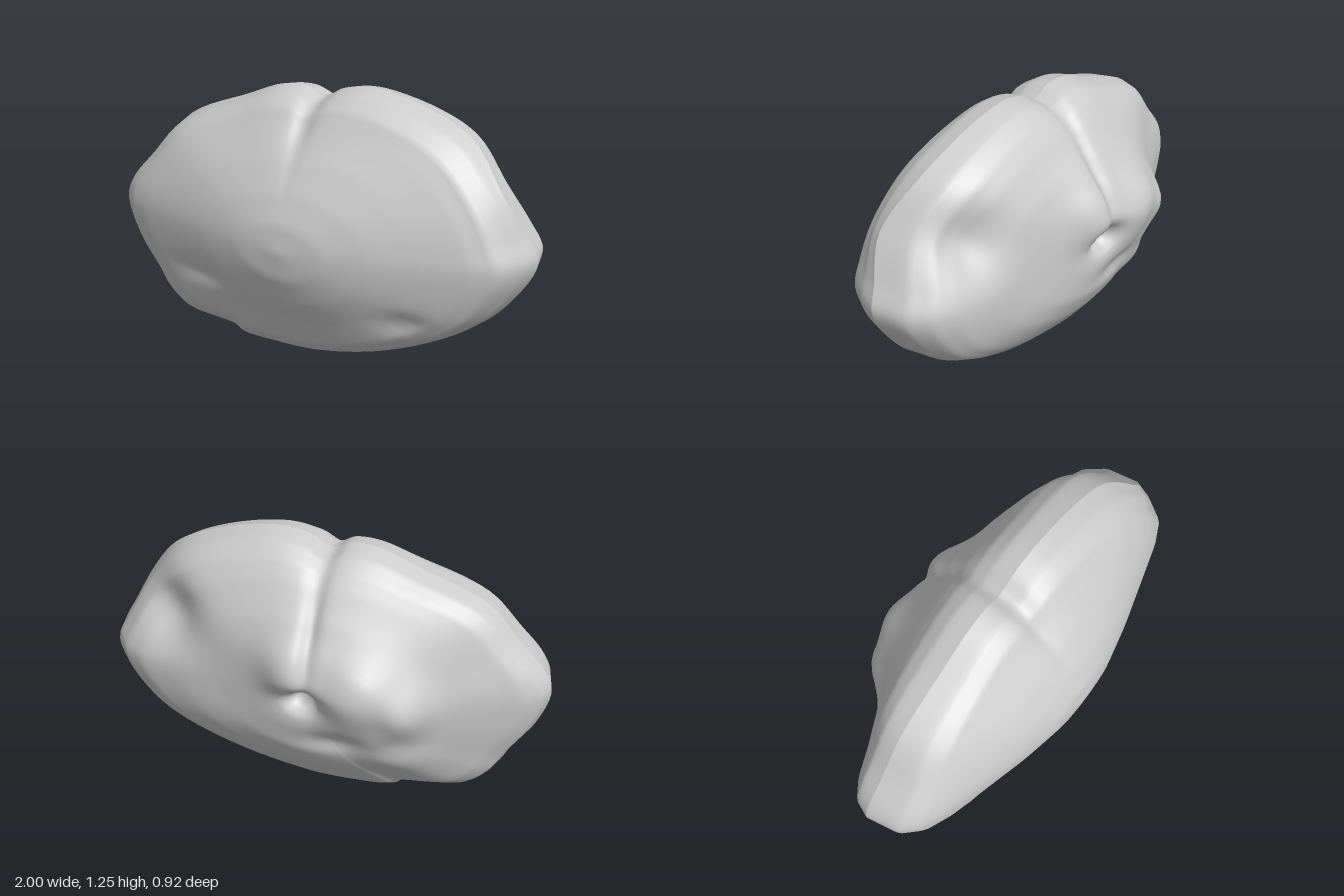
import * as THREE from 'three';

const CY = 0.61, SEG = 144, RINGS = 40;

// Outline of the widest section, anticlockwise from the +x tip
const OUTLINE = [
  [1, .61], [.95, .73], [.86, .9], [.7, 1.09], [.5, 1.19], [.22, 1.25], [.08, 1.23], [-.02, 1.18],
  [-.1, 1.215], [-.22, 1.21], [-.4, 1.14], [-.7, 1.01], [-.85, .84], [-.97, .7], [-1, .61], [-.95, .44],
  [-.85, .28], [-.79, .17], [-.68, .08], [-.4, .045], [-.36, .015], [-.15, .005], [.05, .015],
  [.4, .1], [.75, .27], [.9, .42],
];

// Depth profiles from the middle (0) to the rim (1) in four directions
const RADII = [0, .2, .4, .6, .8, .9, .97, 1];
const FRONT = {
  left: [.46, .443, .395, .335, .275, .225, .11, .02],
  right: [.46, .443, .4, .345, .29, .25, .18, .03],
  top: [.46, .44, .385, .305, .205, .16, .09, 0],
  bottom: [.46, .445, .4, .34, .288, .23, .16, .05],
};
const BACK = {
  left: [-.4, -.37, -.32, -.295, -.26, -.215, -.13, .02],
  right: [-.4, -.4, -.37, -.23, -.135, -.095, -.045, .03],
  top: [-.4, -.4, -.36, -.3, -.215, -.16, -.09, 0],
  bottom: [-.4, -.395, -.37, -.3, -.205, -.15, -.08, .05],
};

// Soft dents and swellings: [x, y, z offset, x spread, y spread]
const FRONT_BUMPS = [
  [.52, .33, -.025, .1, .05], [-.45, .38, -.015, .14, .05], [-.02, 1.1, -.02, .05, .08],
];
const BACK_BUMPS = [
  [-.24, .72, -.075, .16, .17], [.07, .8, -.055, .12, .14], [-.46, .62, -.05, .08, .13], // lumps round the hollow
  [0, .63, .12, .06, .045], [-.02, .92, .03, .035, .2],                                 // hollow and crease
  [.68, .87, .1, .14, .14],                                                             // valley above the side ridge
  [-.15, .42, .03, .14, .06], [-.4, .33, -.03, .13, .1],
];
const RIM_SHIFT = [.85, .89, .08, .2, .2];

const bell = (x, y, [cx, cy, h, sx, sy]) =>
  h * Math.exp(-(((x - cx) / sx) ** 2) - ((y - cy) / sy) ** 2);
const sum = (bumps, x, y) => bumps.reduce((t, b) => t + bell(x, y, b), 0);

// Value of a profile at radius r
function sample(profile, r) {
  const i = Math.min(RADII.length - 2, RADII.findLastIndex((v) => v <= r));
  const t = (r - RADII[i]) / (RADII[i + 1] - RADII[i]);
  return THREE.MathUtils.lerp(profile[i], profile[i + 1], t);
}

// Depth of the surface at radius r in direction (c, s) on one face
function depth(x, y, r, c, s, front) {
  const set = front ? FRONT : BACK;
  const across = sample(c > 0 ? set.left : set.right, r);
  const upright = sample(s > 0 ? set.top : set.bottom, r);
  const bumps = sum(front ? FRONT_BUMPS : BACK_BUMPS, x, y);
  return across * c * c + upright * s * s + (1 - r ** 6) * bumps;
}

function stoneGeometry() {
  const curve = new THREE.CatmullRomCurve3(
    OUTLINE.map(([x, y]) => new THREE.Vector3(x, y, 0)), true, 'centripetal');
  const pos = [], index = [];
  const total = 2 * RINGS;
  // Rings run from the front pole over the rim to the back pole,
  // easing from a plain oval in the middle to the uneven outline at the rim
  for (let i = 0; i <= total; i++) {
    const a = (i / total) * Math.PI;
    const r = i === total ? 0 : Math.sin(a);
    const front = i <= RINGS;
    for (let j = 0; j < SEG; j++) {
      const o = curve.getPoint(j / SEG);
      const t = Math.atan2((o.y - CY) / .62, o.x);
      const c = Math.cos(t), s = Math.sin(t);
      const x = r * THREE.MathUtils.lerp(c, o.x, r * r);
      const y = CY + r * THREE.MathUtils.lerp(.62 * s, o.y - CY, r * r);
      const shift = bell(o.x, o.y, RIM_SHIFT) * r ** (front ? 20 : 4);
      pos.push(x, y, depth(x, y, r, c, s, front) + shift);
    }
  }
  for (let i = 0; i < total; i++) {
    for (let j = 0; j < SEG; j++) {
      const k = (j + 1) % SEG;
      const a = i * SEG + j, b = i * SEG + k, c = a + SEG, d = b + SEG;
      if (i > 0) index.push(a, c, b);
      if (i < total - 1) index.push(b, c, d);
    }
  }
  const g = new THREE.BufferGeometry();
  g.setAttribute('position', new THREE.Float32BufferAttribute(pos, 3));
  g.setIndex(index);
  g.computeVertexNormals();
  // The two poles are rings of coincident points, so share one normal each
  for (let j = 0; j < SEG; j++) {
    g.attributes.normal.setXYZ(j, 0, 0, 1);
    g.attributes.normal.setXYZ(total * SEG + j, 0, 0, -1);
  }
  return g;
}

export function createModel() {
  const group = new THREE.Group();
  group.name = 'stone';
  const body = new THREE.Mesh(stoneGeometry(), new THREE.MeshStandardMaterial({ color: 0xcccccc }));
  body.name = 'stoneBody';
  group.add(body);
  return group;
}
